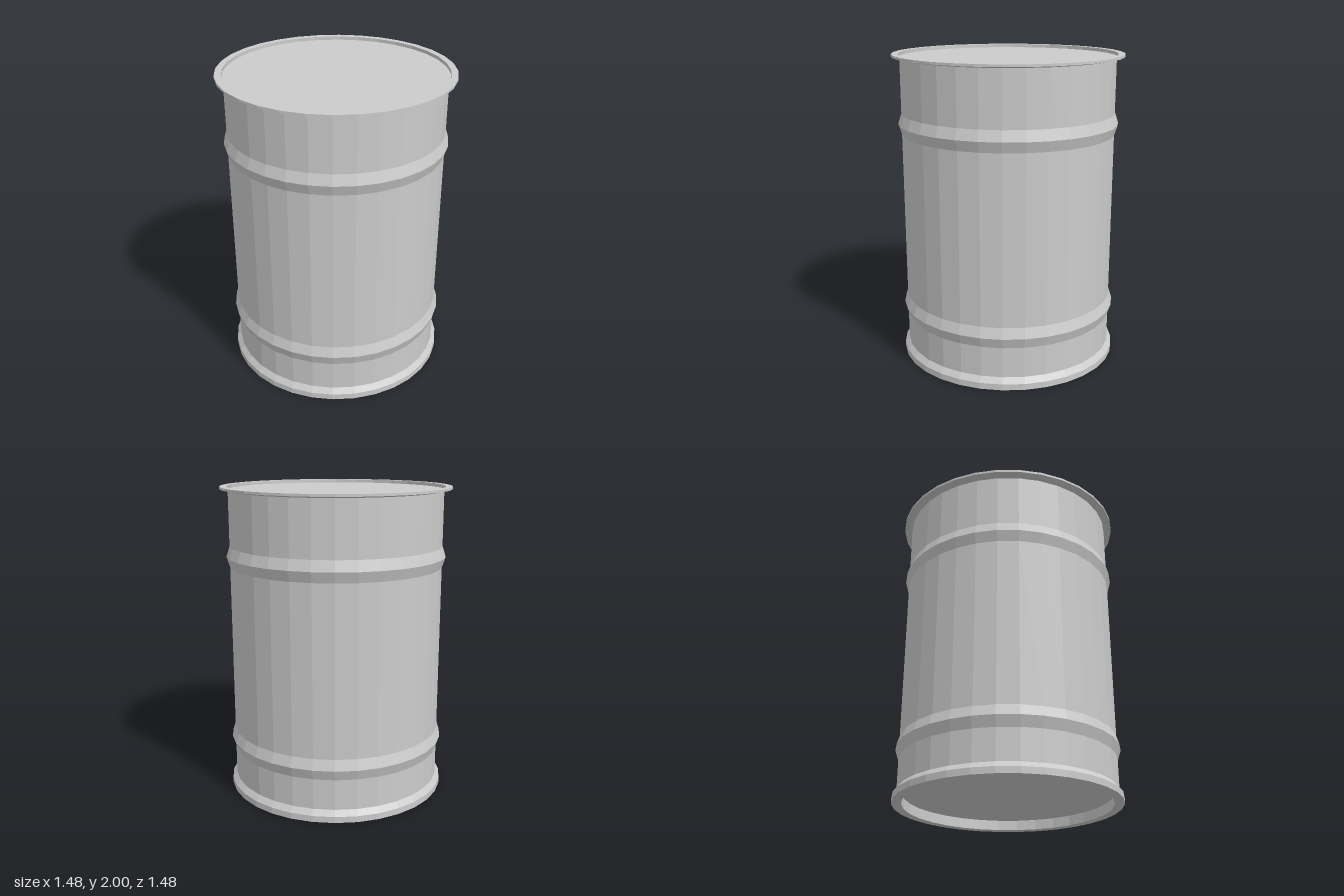
import * as THREE from 'three';

const SIDES = 32;
const material = new THREE.MeshStandardMaterial({ color: 0xcccccc, flatShading: true });

// Revolves a [radius, height] profile; rising profiles face outwards
function turned(name, profile) {
  const points = profile.map(([r, y]) => new THREE.Vector2(r, y));
  const mesh = new THREE.Mesh(new THREE.LatheGeometry(points, SIDES), material);
  mesh.name = name;
  return mesh;
}

export function createModel() {
  const group = new THREE.Group();
  group.name = 'drum';

  const wall = 0.69;
  // Rolling hoop: a shallow ridge swelling out of the wall
  const hoop = (y) => [[wall, y - 0.067], [0.712, y], [wall, y + 0.067]];

  // Side wall with its two hoops
  group.add(turned('body', [[wall, 0.075], ...hoop(0.34), ...hoop(1.56), [wall, 1.975]]));

  // Foot ring, hollow underneath
  group.add(turned('footRing', [[0.657, 0.065], [0.657, 0], [0.718, 0], [0.718, 0.04], [wall, 0.075]]));

  // Recessed bottom panel
  group.add(turned('bottomPanel', [[0, 0.065], [0.657, 0.065]]));

  // Flared top rim with a shallow inner lip
  group.add(turned('topRim', [[wall, 1.975], [0.742, 1.985], [0.742, 2], [0.70, 2], [0.70, 1.978]]));

  // Lid panel just below the rim
  group.add(turned('lid', [[0.70, 1.978], [0, 1.978]]));

  return group;
}
